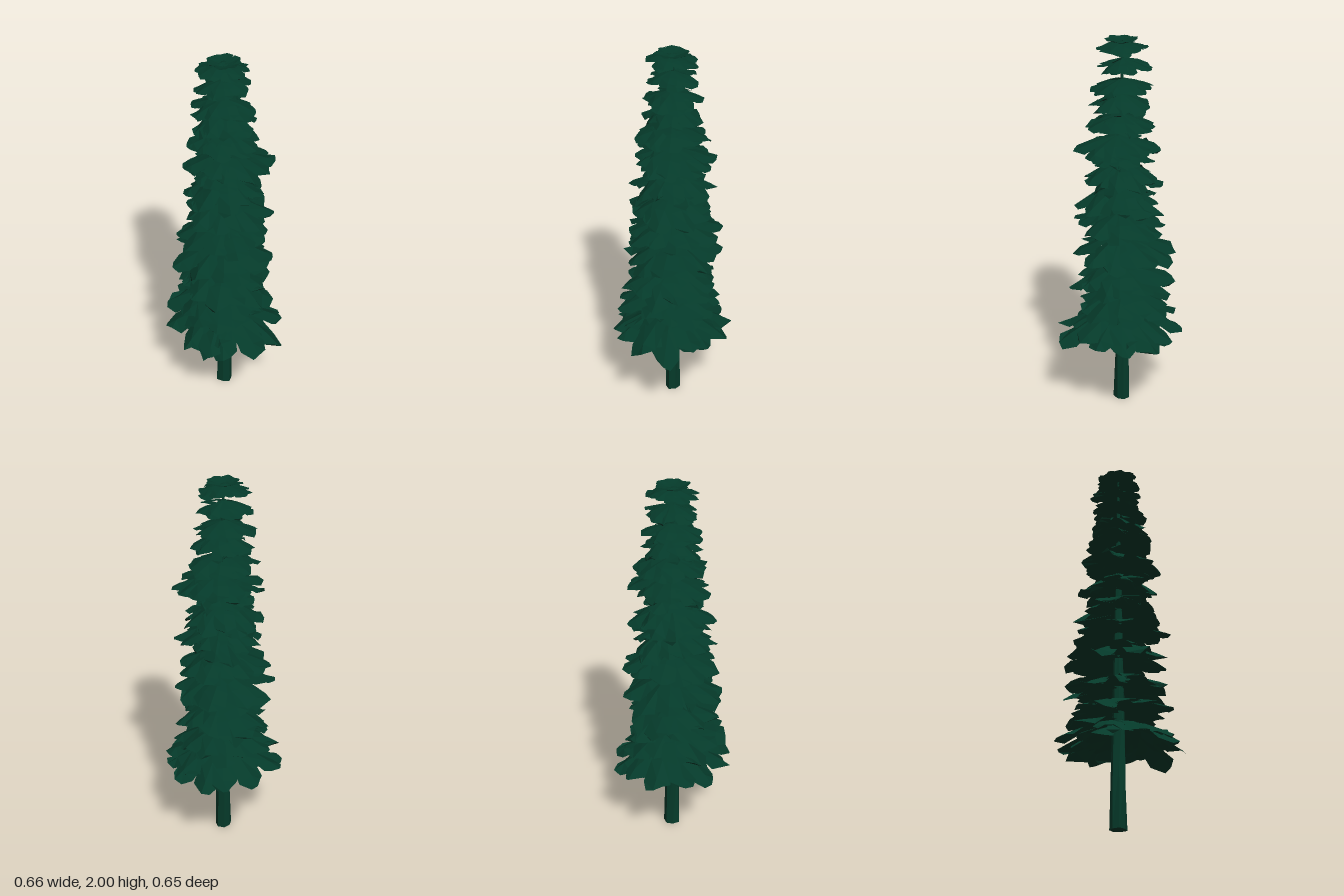
import * as THREE from 'three';

// Small seeded generator so the tree is always the same
function seeded(seed) {
  let s = seed;
  return () => {
    s = (s * 16807) % 2147483647;
    return s / 2147483647;
  };
}
const rand = seeded(4711);
const vary = (amount) => (rand() - 0.5) * 2 * amount;

// One drooping frond: rows of left / ridge / right points, folded along the ridge.
// With an underside, a last row leads from the tip back to the trunk.
function addFrond(out, { angle, apex, drop, length, width, tilt, bluntness, underside }) {
  const profile = [
    // part of length, height lost, half width, sag of the edges
    [0.04, 0.0, 0.08, 0.0],
    [0.5, 0.36, 0.5, 0.12],
    [0.82, 0.74, 0.58, 0.2],
    [1.0, 1.0, bluntness, 0.0],
  ];
  if (underside) profile.push([0.55, 0.82, 0.48, 0.08], [0.06, 0.64, 0.1, 0.0]);
  const rows = profile.map(([t, fall, half, sag], row) => [-1, 0, 1].map((side) => {
    const edge = Math.abs(side);
    const r = t * length * (row === 2 || row === 3 ? 1 - edge * (0.05 + vary(0.07)) : 1);
    const w = side * half * width;
    const jag = row > 0 && row < 5 ? edge * vary(0.1) : 0;
    return new THREE.Vector3(
      Math.cos(angle) * r - Math.sin(angle) * w,
      apex - (fall + edge * sag + jag - side * tilt * t) * drop,
      Math.sin(angle) * r + Math.cos(angle) * w,
    );
  }));
  for (let i = 0; i < rows.length - 1; i++) {
    for (let j = 0; j < 2; j++) {
      const a = rows[i][j], b = rows[i][j + 1], c = rows[i + 1][j], d = rows[i + 1][j + 1];
      for (const p of [a, b, c, b, d, c]) out.push(p.x, p.y, p.z);
    }
  }
}

function facetedGeometry(positions) {
  const g = new THREE.BufferGeometry();
  g.setAttribute('position', new THREE.Float32BufferAttribute(positions, 3));
  g.computeVertexNormals();
  return g;
}

export function createModel() {
  const tree = new THREE.Group();
  tree.name = 'coniferTree';
  const green = new THREE.MeshStandardMaterial({
    color: 0x053a2a, flatShading: true, side: THREE.DoubleSide,
  });
  green.name = 'dark pine green';
  const addPart = (name, geometry) => {
    const mesh = new THREE.Mesh(geometry, green);
    mesh.name = name;
    tree.add(mesh);
    return mesh;
  };

  // Trunk: seven uneven sides, narrowing to the top
  const trunkGeometry = new THREE.CylinderGeometry(0.005, 0.043, 1.975, 7, 6);
  trunkGeometry.translate(0, 0.9875, 0);
  const p = trunkGeometry.attributes.position;
  for (let i = 0; i < p.count; i++) {
    const k = 1 + 0.1 * Math.sin(p.getY(i) * 9 + Math.atan2(p.getZ(i), p.getX(i)) * 3);
    p.setX(i, p.getX(i) * k);
    p.setZ(i, p.getZ(i) * k);
  }
  addPart('trunk', trunkGeometry);

  // Lowest skirt, open below: hand-placed frond tips (x, z, y)
  const skirtTips = [
    [0.02, -0.325, 0.41], [0.19, -0.255, 0.42], [0.27, -0.135, 0.43], [0.31, -0.05, 0.45],
    [0.33, 0.115, 0.39], [0.24, 0.24, 0.42], [0.06, 0.315, 0.41], [-0.02, 0.32, 0.42],
    [-0.16, 0.275, 0.41], [-0.3, 0.11, 0.42], [-0.33, -0.05, 0.46], [-0.25, -0.2, 0.43],
    [-0.09, -0.295, 0.42],
  ];
  const skirt = [];
  for (const [x, z, y] of skirtTips) {
    const apex = 0.56 + vary(0.01);
    addFrond(skirt, {
      angle: Math.atan2(z, x), apex, drop: apex - y, length: Math.hypot(x, z),
      width: 0.125, tilt: vary(0.1), bluntness: 0.25 + vary(0.12), underside: false,
    });
  }
  addPart('branchSkirt', facetedGeometry(skirt));

  // Branch tiers: apex height, rim height, radius, sideways shift
  const tiers = [
    [0.53, 0.43, 0.26, 0],
    [0.66, 0.56, 0.295, -0.01],
    [0.8, 0.685, 0.275, 0.005],
    [0.97, 0.855, 0.28, 0],
    [1.1, 1.015, 0.26, 0.01],
    [1.235, 1.13, 0.235, 0.01],
    [1.37, 1.26, 0.225, 0],
    [1.43, 1.37, 0.165, 0],
    [1.51, 1.43, 0.23, 0.025],
    [1.62, 1.555, 0.2, 0.005],
    [1.73, 1.645, 0.17, 0.01],
    [1.8, 1.742, 0.165, 0],
    [1.9, 1.848, 0.145, -0.005],
    [1.982, 1.943, 0.135, -0.01],
  ];
  tiers.forEach(([apex, rim, radius, shift], n) => {
    const fronds = radius > 0.2 ? 12 : 10;
    const points = [];
    for (let i = 0; i < fronds; i++) {
      addFrond(points, {
        angle: n * 2.4 + ((i + vary(0.25)) / fronds) * Math.PI * 2,
        apex: apex + vary(0.006),
        drop: (apex - rim) * (0.92 + vary(0.18)),
        length: radius * (0.92 + vary(0.13)),
        width: radius * (5.3 / fronds),
        tilt: vary(0.2),
        bluntness: 0.28 + vary(0.2),
        underside: n > 0,
      });
    }
    addPart(`branchTier${n + 1}`, facetedGeometry(points)).position.x = shift;
  });

  // Crown: a shallow upturned star of eight fronds
  const crown = [];
  for (let i = 0; i < 8; i++) {
    addFrond(crown, {
      angle: (i + vary(0.2)) * Math.PI / 4, apex: 1.976, drop: -0.02,
      length: 0.085 + vary(0.015), width: 0.055, tilt: 0, bluntness: 0.15, underside: false,
    });
  }
  addPart('crown', facetedGeometry(crown));

  return tree;
}
